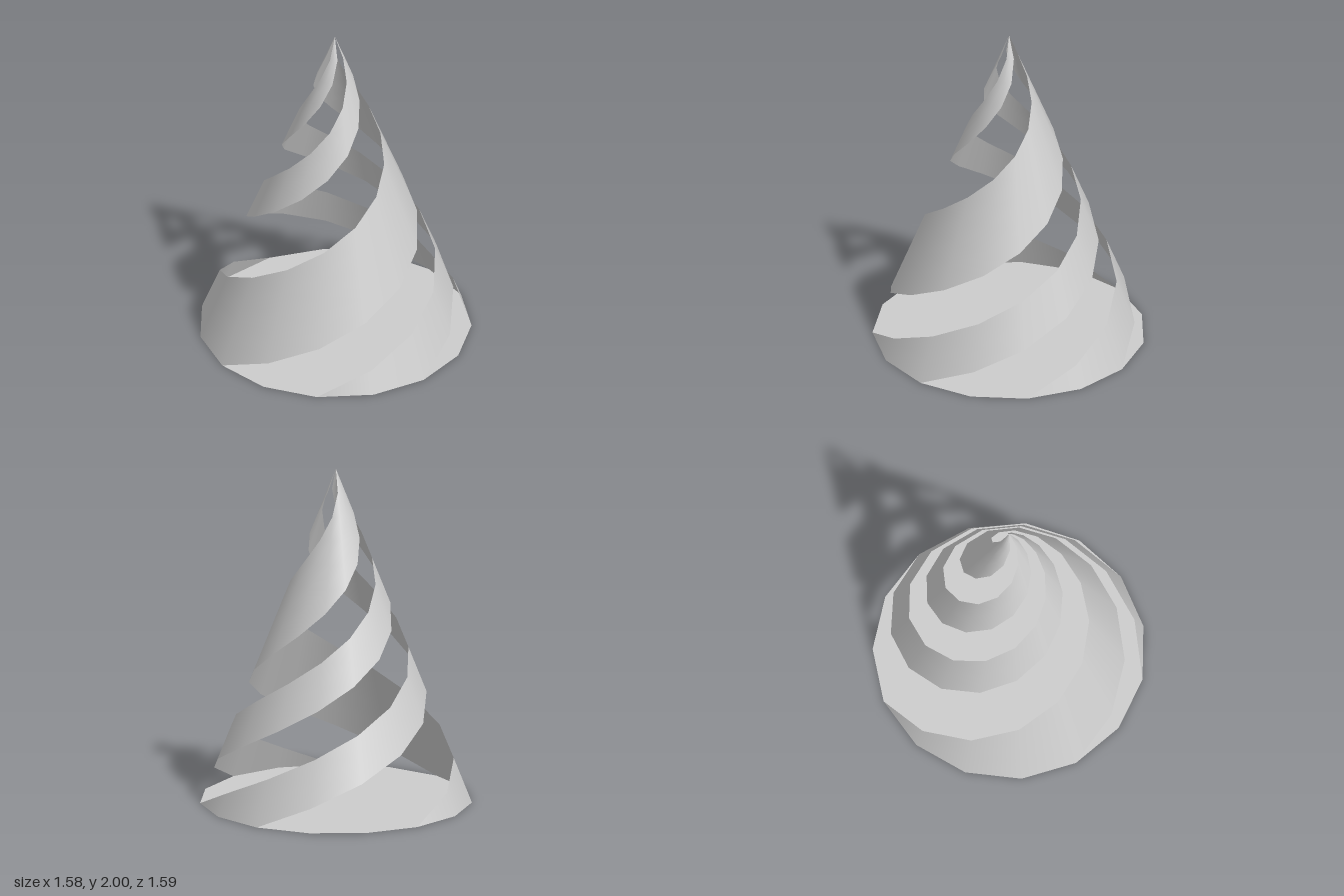
import * as THREE from 'three';

const SIDES = 15, LEVELS = 15, RADIUS = 0.8, HEIGHT = 2;
const STEP = (Math.PI * 2) / SIDES;

// Ribbon lying on a faceted cone, turning one side per level up to the tip.
// from / to: the base corners between which it starts.
function ribbonGeometry(from, to) {
  const positions = [], normals = [], indices = [];
  const columns = to - from + 1;
  const normal = new THREE.Vector3();
  for (let k = 0; k <= LEVELS; k++) {
    const r = RADIUS * (1 - k / LEVELS);
    for (let j = from; j <= to; j++) {
      const c = Math.cos((j - k) * STEP), s = Math.sin((j - k) * STEP);
      positions.push(r * c, (HEIGHT * k) / LEVELS, r * s);
      normal.set(HEIGHT * c, RADIUS, HEIGHT * s).normalize();
      normals.push(normal.x, normal.y, normal.z);
    }
  }
  for (let k = 0; k < LEVELS; k++) {
    for (let j = 0; j < columns - 1; j++) {
      const a = k * columns + j, up = a + columns;
      indices.push(a, up + 1, a + 1);
      if (k < LEVELS - 1) indices.push(a, up, up + 1); // the tip is one point
    }
  }
  const geometry = new THREE.BufferGeometry();
  geometry.setAttribute('position', new THREE.Float32BufferAttribute(positions, 3));
  geometry.setAttribute('normal', new THREE.Float32BufferAttribute(normals, 3));
  geometry.setIndex(indices);
  return geometry;
}

export function createModel() {
  const group = new THREE.Group();
  group.name = 'spiralCone';
  const material = new THREE.MeshStandardMaterial({ color: 0xcccccc, side: THREE.DoubleSide });
  // an odd-sided cone is off-centre along x, so shift it to centre its bounds
  const offset = -RADIUS * (1 - Math.cos(STEP / 2)) / 2;

  const add = (name, geometry) => {
    const mesh = new THREE.Mesh(geometry, material);
    mesh.name = name;
    mesh.position.x = offset;
    group.add(mesh);
  };

  // Three ribbons
  add('wideRibbon', ribbonGeometry(5, 9));
  add('narrowRibbonFront', ribbonGeometry(1, 3));
  add('narrowRibbonBack', ribbonGeometry(12, 14));

  // Base disc
  add('base', new THREE.CircleGeometry(RADIUS, SIDES).rotateX(-Math.PI / 2));

  return group;
}
